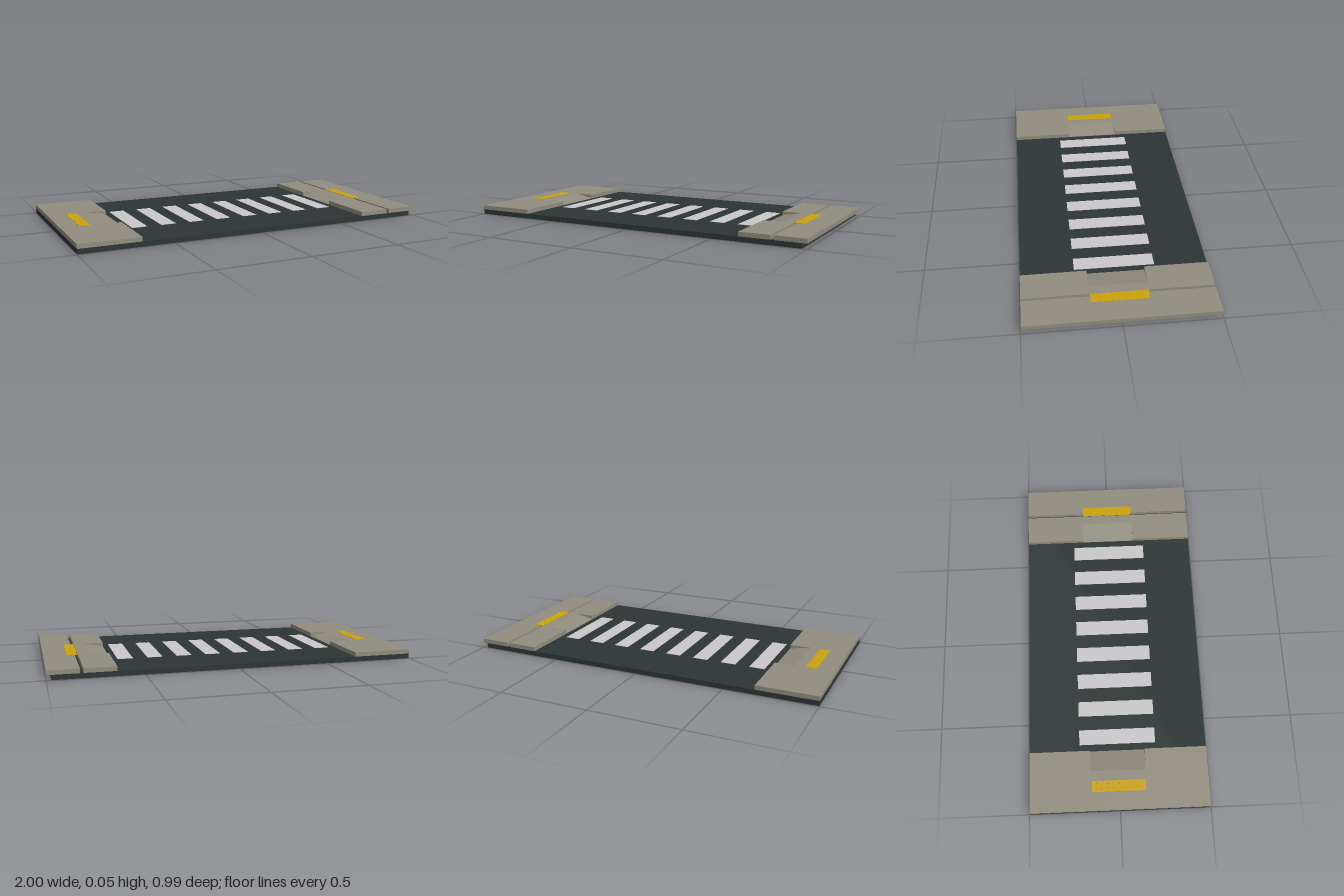
import * as THREE from 'three';

export function createModel() {
  const model = new THREE.Group();
  model.name = 'pedestrianCrossing';

  const paint = (name, color) => {
    const m = new THREE.MeshStandardMaterial({ color });
    m.name = name;
    return m;
  };
  const asphalt = paint('asphalt', 0x2d3535);
  const concrete = paint('concrete', 0x918d7f);
  const white = paint('stripe white', 0xcac8ca);
  const yellow = paint('warning yellow', 0xcaa20c);

  const ROAD = 0.027, TOP = 0.051, EDGE = 0.495;
  const RAMP_BACK = -0.155, RAMP_FRONT = 0.15;

  // Box given by its limits on each axis
  function block(name, mat, x0, x1, y0, y1, z0, z1, parent = model) {
    const mesh = new THREE.Mesh(new THREE.BoxGeometry(x1 - x0, y1 - y0, z1 - z0), mat);
    mesh.position.set((x0 + x1) / 2, (y0 + y1) / 2, (z0 + z1) / 2);
    mesh.name = name;
    parent.add(mesh);
  }

  // Pavement with a dropped kerb: full height at the back, sloping to the road
  function pavement(name, outer, rampTop, kerb) {
    const group = new THREE.Group();
    group.name = name;
    const x0 = Math.min(outer, kerb), x1 = Math.max(outer, kerb);
    block('slabBack', concrete, x0, x1, ROAD, TOP, -EDGE, RAMP_BACK, group);
    block('slabFront', concrete, x0, x1, ROAD, TOP, RAMP_FRONT, EDGE, group);
    const profile = new THREE.Shape([
      new THREE.Vector2(outer, ROAD),
      new THREE.Vector2(kerb, ROAD),
      new THREE.Vector2(kerb, ROAD + 0.002),
      new THREE.Vector2(rampTop, TOP),
      new THREE.Vector2(outer, TOP),
    ]);
    const ramp = new THREE.Mesh(
      new THREE.ExtrudeGeometry(profile, { depth: RAMP_FRONT - RAMP_BACK, bevelEnabled: false }),
      concrete);
    ramp.position.z = RAMP_BACK;
    ramp.name = 'ramp';
    group.add(ramp);
    model.add(group);
  }

  // Yellow warning strip with two rows of raised studs
  function tactileStrip(name, x0, x1) {
    const group = new THREE.Group();
    group.name = name;
    block('plate', yellow, x0, x1, TOP - 0.002, TOP + 0.0015, -0.152, 0.146, group);
    const studGeometry = new THREE.CylinderGeometry(0.004, 0.006, 0.003, 8);
    for (const side of [-1, 1]) {
      for (let i = 0; i < 9; i++) {
        const stud = new THREE.Mesh(studGeometry, yellow);
        stud.position.set((x0 + x1) / 2 + side * 0.014, TOP + 0.002, -0.126 + i * 0.0315);
        stud.name = 'stud';
        group.add(stud);
      }
    }
    model.add(group);
  }

  // Road bed
  block('road', asphalt, -1, 0.975, 0, ROAD, -EDGE, EDGE);

  // Painted crossing stripes
  for (let i = 0; i < 8; i++) {
    const x = -0.632 + i * 0.165;
    block('stripe', white, x, x + 0.085, ROAD - 0.001, ROAD + 0.0015, -0.215, 0.212);
  }

  // Pavements; the left one is split by a gutter and overhangs the road bed
  pavement('rightPavement', -1, -0.785, -0.67);
  pavement('leftPavement', 0.815, 0.76, 0.645);
  block('leftOuterSlab', concrete, 0.832, 1, ROAD, TOP, -EDGE, EDGE);

  tactileStrip('rightTactileStrip', -0.9, -0.84);
  tactileStrip('leftTactileStrip', 0.817, 0.875);

  return model;
}
